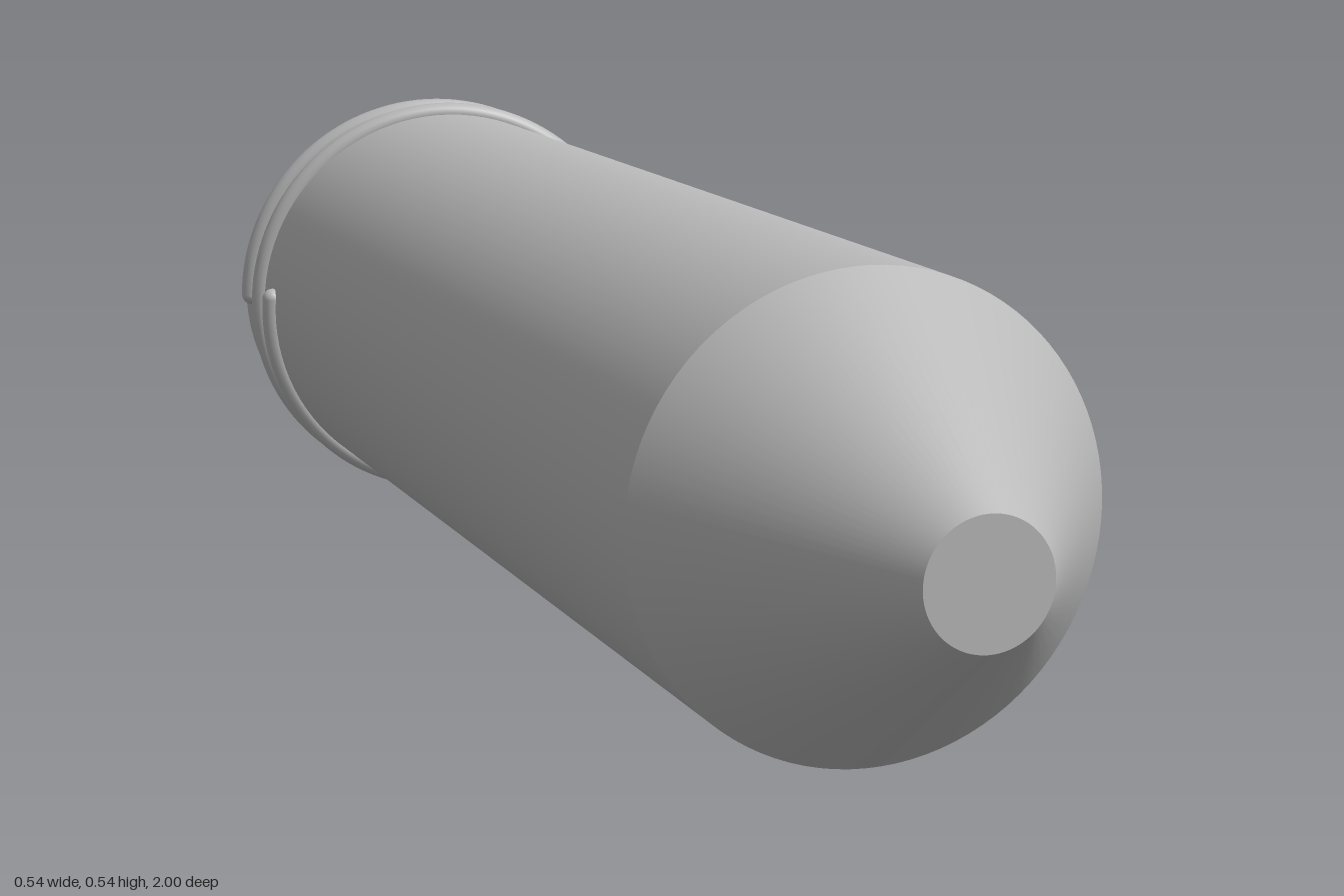
import * as THREE from 'three';

const AXIS_Y = 0.272; // height of the tube's long axis
const THREAD_R = 0.014;

const plastic = new THREE.MeshStandardMaterial({ color: 0xb8b8b8 });
plastic.name = 'grey plastic';

function addMesh(parent, name, geometry) {
  const mesh = new THREE.Mesh(geometry, plastic);
  mesh.name = name;
  parent.add(mesh);
  return mesh;
}

// Surface of revolution about z from [radius, z] points, smooth along its length
function revolve(parent, name, points) {
  const profile = points.map(([r, z]) => new THREE.Vector2(r, z));
  return addMesh(parent, name, new THREE.LatheGeometry(profile, 96).rotateX(Math.PI / 2));
}

// One full turn of raised screw thread, winding towards the open end
class Helix extends THREE.Curve {
  constructor(phase) {
    super();
    this.phase = phase;
  }
  getPoint(t, target = new THREE.Vector3()) {
    const turn = THREE.MathUtils.lerp(-0.05, Math.PI * 2, t);
    const a = turn + this.phase;
    const z = -0.817 - 0.143 * turn / (Math.PI * 2);
    return target.set(0.258 * Math.cos(a), 0.258 * Math.sin(a), z);
  }
}

export function createModel() {
  const model = new THREE.Group();
  model.name = 'conicalTube';
  const tube = new THREE.Group();
  tube.name = 'tube';
  tube.position.y = AXIS_Y;
  model.add(tube);

  // Each section is separate so the edges between them stay crisp
  revolve(tube, 'outerWall', [[0.258, -1], [0.244, 0.72]]);
  revolve(tube, 'outerCone', [[0.244, 0.72], [0.063, 1]]);
  revolve(tube, 'tip', [[0.063, 1], [0, 1]]);
  revolve(tube, 'innerTip', [[0, 0.985], [0.053, 0.985]]);
  revolve(tube, 'innerCone', [[0.053, 0.985], [0.23, 0.713]]);
  revolve(tube, 'innerWall', [[0.23, 0.713], [0.244, -1]]);
  revolve(tube, 'rim', [[0.244, -1], [0.258, -1]]);

  // Double-start screw thread with rounded ends
  [0, Math.PI].forEach((phase) => {
    const helix = new Helix(phase);
    const thread = new THREE.Group();
    thread.name = 'screwThread';
    tube.add(thread);
    addMesh(thread, 'threadRidge', new THREE.TubeGeometry(helix, 128, THREAD_R, 16));
    for (const t of [0, 1]) {
      const end = addMesh(thread, 'threadEnd', new THREE.SphereGeometry(THREAD_R, 16, 12));
      end.position.copy(helix.getPoint(t));
    }
  });

  return model;
}
